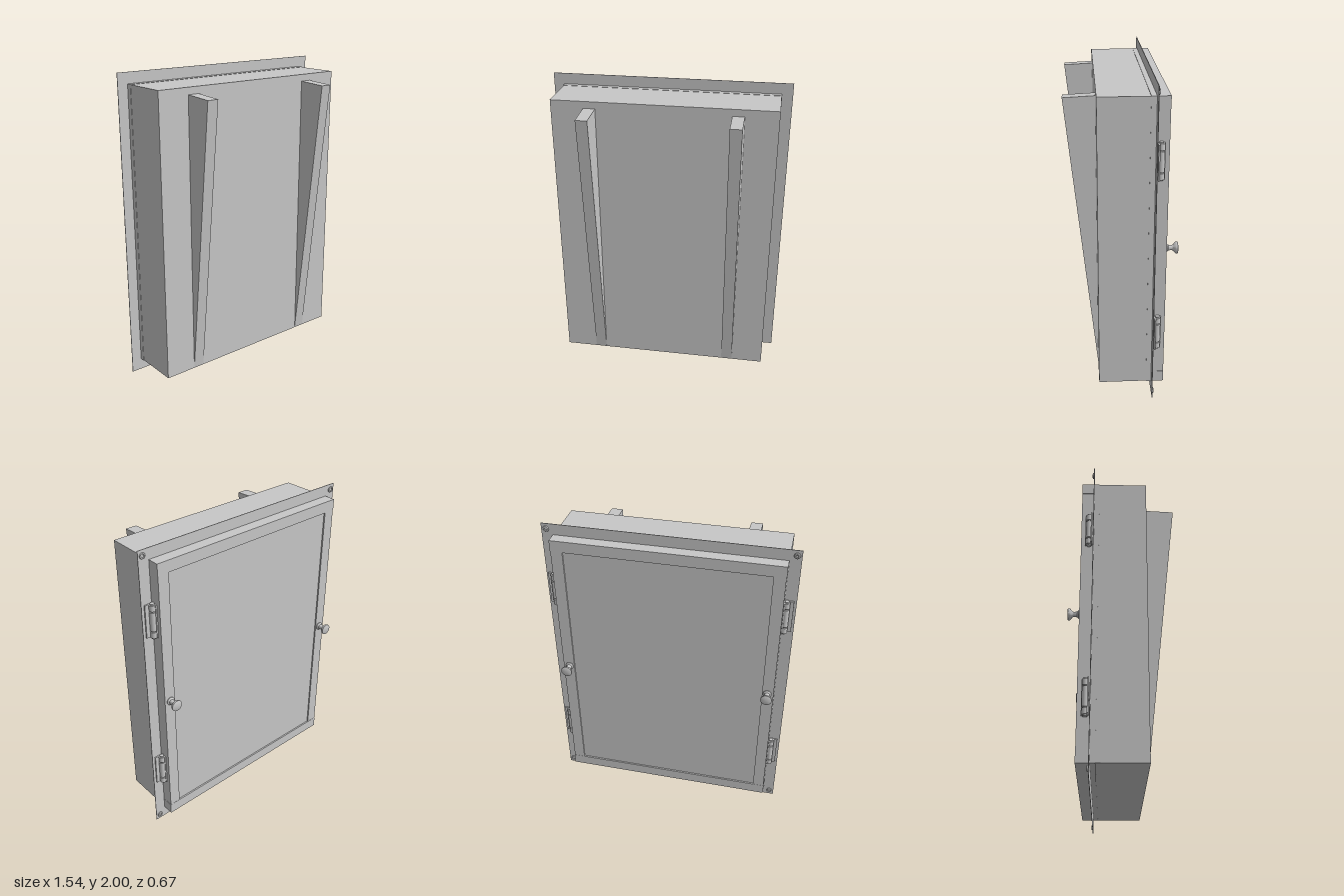
import * as THREE from 'three';
import { toCreasedNormals } from 'three/addons/utils/BufferGeometryUtils.js';

export function createModel() {
  const model = new THREE.Group();
  model.name = 'wallCabinet';
  const grey = new THREE.MeshStandardMaterial({ color: 0xc7c7c7 });
  grey.name = 'light grey metal';

  const add = (parent, name, geometry, x = 0, y = 0, z = 0) => {
    const mesh = new THREE.Mesh(geometry, grey);
    mesh.name = name;
    mesh.position.set(x, y, z);
    parent.add(mesh);
    return mesh;
  };
  // Box given by its lower and upper limits on each axis
  const block = (parent, name, [x0, x1], [y0, y1], [z0, z1]) =>
    add(parent, name, new THREE.BoxGeometry(x1 - x0, y1 - y0, z1 - z0),
      (x0 + x1) / 2, (y0 + y1) / 2, (z0 + z1) / 2);
  // Turned part: profile of [radius, distance], pointing towards the back
  const turned = (profile) => toCreasedNormals(
    new THREE.LatheGeometry(profile.map(([r, d]) => new THREE.Vector2(r, d)), 28)
      .rotateX(-Math.PI / 2), 0.6);

  // Body with the collar of the flange around its back end
  block(model, 'body', [-0.7, 0.7], [0.078, 1.928], [-0.186, 0.142]);
  block(model, 'collar', [-0.702, 0.702], [0.076, 1.93], [-0.187, -0.155]);

  // Flange of four strips
  const fz = [-0.191, -0.187];
  block(model, 'flangeTop', [-0.77, 0.77], [1.93, 2], fz);
  block(model, 'flangeBottom', [-0.77, 0.77], [0, 0.076], fz);
  block(model, 'flangeLeft', [0.7, 0.77], [0.076, 1.93], fz);
  block(model, 'flangeRight', [-0.77, -0.7], [0.076, 1.93], fz);

  // Door: rails, stiles and a recessed panel
  const door = new THREE.Group();
  door.name = 'door';
  model.add(door);
  const dz = [-0.265, -0.187];
  block(door, 'topRail', [-0.7, 0.7], [1.857, 1.93], dz);
  block(door, 'bottomRail', [-0.7, 0.7], [0.076, 0.149], dz);
  block(door, 'leftStile', [0.625, 0.698], [0.149, 1.857], [-0.264, -0.187]);
  block(door, 'rightStile', [-0.698, -0.625], [0.149, 1.857], [-0.264, -0.187]);
  block(door, 'panel', [-0.625, 0.625], [0.149, 1.857], [-0.255, -0.187]);

  // Tapered mounting wedges on the front
  const profile = new THREE.Shape([
    new THREE.Vector2(0.142, 0.08), new THREE.Vector2(0.332, 1.874),
    new THREE.Vector2(0.142, 1.884)]);
  const width = 0.074;
  const wedge = new THREE.ExtrudeGeometry(profile, { depth: width, bevelEnabled: false })
    .rotateY(-Math.PI / 2).translate(width / 2, 0, 0);

  const knob = turned([[0, 0], [0.026, 0], [0.026, 0.006], [0.017, 0.014], [0.015, 0.034],
    [0.018, 0.042], [0.033, 0.054], [0.036, 0.06], [0.036, 0.068], [0.03, 0.071], [0, 0.072]]);
  const screw = turned([[0, 0], [0.019, 0], [0.019, 0.004],
    [0.017, 0.008], [0.01, 0.01], [0.007, 0.006], [0, 0.006]]);
  const barrel = (r, h) => new THREE.CylinderGeometry(r, r, h, 24);

  for (const side of [1, -1]) {
    const label = side > 0 ? 'left' : 'right';
    add(model, label + 'Wedge', wedge, side * 0.456);
    add(model, label + 'Knob', knob, side * 0.658, 1, -0.263);
    for (const y of [0.035, 1.965]) add(model, label + 'Screw', screw, side * 0.741, y, -0.19);

    // Hinges: barrel with end caps, one leaf on the flange and one on the door
    for (const y of [0.45, 1.563]) {
      const hinge = new THREE.Group();
      hinge.name = label + 'Hinge';
      hinge.position.set(side * 0.714, y, -0.216);
      model.add(hinge);
      add(hinge, 'middleKnuckle', barrel(0.02, 0.12));
      for (const end of [1, -1]) {
        add(hinge, 'endKnuckle', barrel(0.02, 0.038), 0, end * 0.087, 0);
        add(hinge, 'cap', barrel(0.013, 0.008), 0, end * 0.11, 0);
      }
      add(hinge, 'pin', barrel(0.013, 0.2));
      add(hinge, 'flangeLeaf', new THREE.BoxGeometry(0.042, 0.212, 0.009), side * 0.02, 0, 0.0155);
      add(hinge, 'doorLeaf', new THREE.BoxGeometry(0.008, 0.212, 0.04), side * -0.011, 0, -0.003);
    }
  }
  return model;
}
